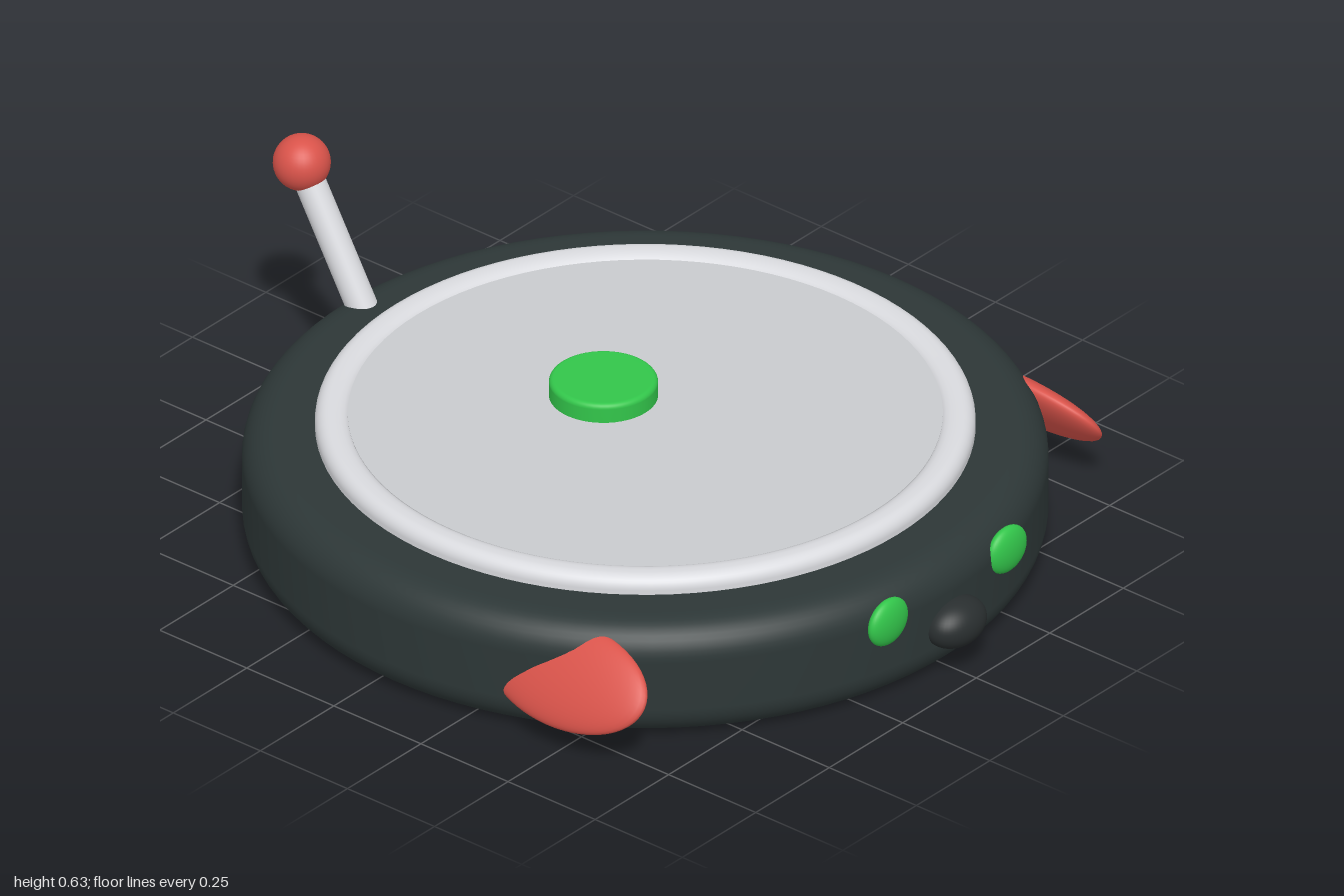
import * as THREE from 'three';

const mat = (name, color, extra) => {
  const m = new THREE.MeshStandardMaterial({ color });
  m.name = name;
  return m;
};

// Profile of a solid disc with rounded upper and lower edges
function discProfile(radius, y0, y1, lowFillet, topFillet) {
  const pts = [[0, y0]];
  const arc = (fillet, cy, from) => {
    for (let i = 0; i <= 10; i++) {
      const a = from + (i / 10) * Math.PI / 2;
      pts.push([radius - fillet + fillet * Math.cos(a), cy + fillet * Math.sin(a)]);
    }
  };
  pts.push([radius - lowFillet - 0.01, y0]);
  arc(lowFillet, y0 + lowFillet, -Math.PI / 2);
  arc(topFillet, y1 - topFillet, 0);
  pts.push([radius - topFillet - 0.01, y1], [0, y1]);
  return pts;
}

export function createModel() {
  const group = new THREE.Group();
  const charcoal = mat('charcoal', 0x2d3737);
  const black = mat('noseBlack', 0x292e2f);
  const silver = mat('silver', 0xd9dade);
  const grey = mat('plateGrey', 0xc8cacd);
  const green = mat('green', 0x32c54a);
  const red = mat('red', 0xd9534a);

  const add = (name, geometry, material, x, y, z) => {
    const mesh = new THREE.Mesh(geometry, material);
    mesh.name = name;
    mesh.position.set(x, y, z);
    group.add(mesh);
    return mesh;
  };
  const lathe = (pts, seg = 96) =>
    new THREE.LatheGeometry(pts.map(([r, y]) => new THREE.Vector2(r, y)), seg);
  const ellipsoid = (rx, ry, rz) => new THREE.SphereGeometry(1, 40, 28).scale(rx, ry, rz);

  // Round body
  const cz = 0.05;
  add('body', lathe(discProfile(0.885, 0, 0.28, 0.08, 0.08)), charcoal, 0, 0, cz);

  // Raised rim with a rounded crest, and the plate set into it
  const rim = [[0.725, 0.27], [0.725, 0.29]];
  for (let i = 1; i <= 8; i++) {
    const a = (i / 8) * Math.PI / 2;
    rim.push([0.695 + 0.03 * Math.cos(a), 0.29 + 0.03 * Math.sin(a)]);
  }
  rim.push([0.682, 0.32], [0.67, 0.318], [0.66, 0.314], [0.651, 0.307], [0.645, 0.295]);
  add('rim', lathe(rim), silver, 0, 0, cz);
  add('topPlate', new THREE.CylinderGeometry(0.653, 0.653, 0.03, 96), grey, 0, 0.295, cz);

  // Button on the plate
  add('button', lathe(discProfile(0.12, 0.3, 0.355, 0.005, 0.012), 48), green, 0, 0, -0.07);

  // Antenna leaning back, with a ball at the tip
  const base = new THREE.Vector3(0, 0.2, -0.724);
  const tip = new THREE.Vector3(0, 0.57, -0.936);
  const mid = base.clone().lerp(tip, 0.5);
  const rod = add('antennaRod', new THREE.CylinderGeometry(0.035, 0.035, base.distanceTo(tip), 32),
    silver, mid.x, mid.y, mid.z);
  rod.quaternion.setFromUnitVectors(new THREE.Vector3(0, 1, 0), tip.clone().sub(base).normalize());
  add('antennaBall', new THREE.SphereGeometry(0.064, 32, 24), red, tip.x, tip.y, tip.z);

  // Face and side fins
  add('nose', ellipsoid(0.081, 0.056, 0.06), black, 0, 0.122, 0.94);
  for (const [side, s] of [['left', 1], ['right', -1]]) {
    add(side + 'Eye', ellipsoid(0.062, 0.056, 0.024), green, s * 0.202, 0.205, 0.917);
    const fin = add(side + 'Fin', ellipsoid(0.036, 0.118, 0.22), red, s * 0.773, 0.16, 0.48);
    fin.rotation.z = s * 0.64;
  }
  return group;
}
